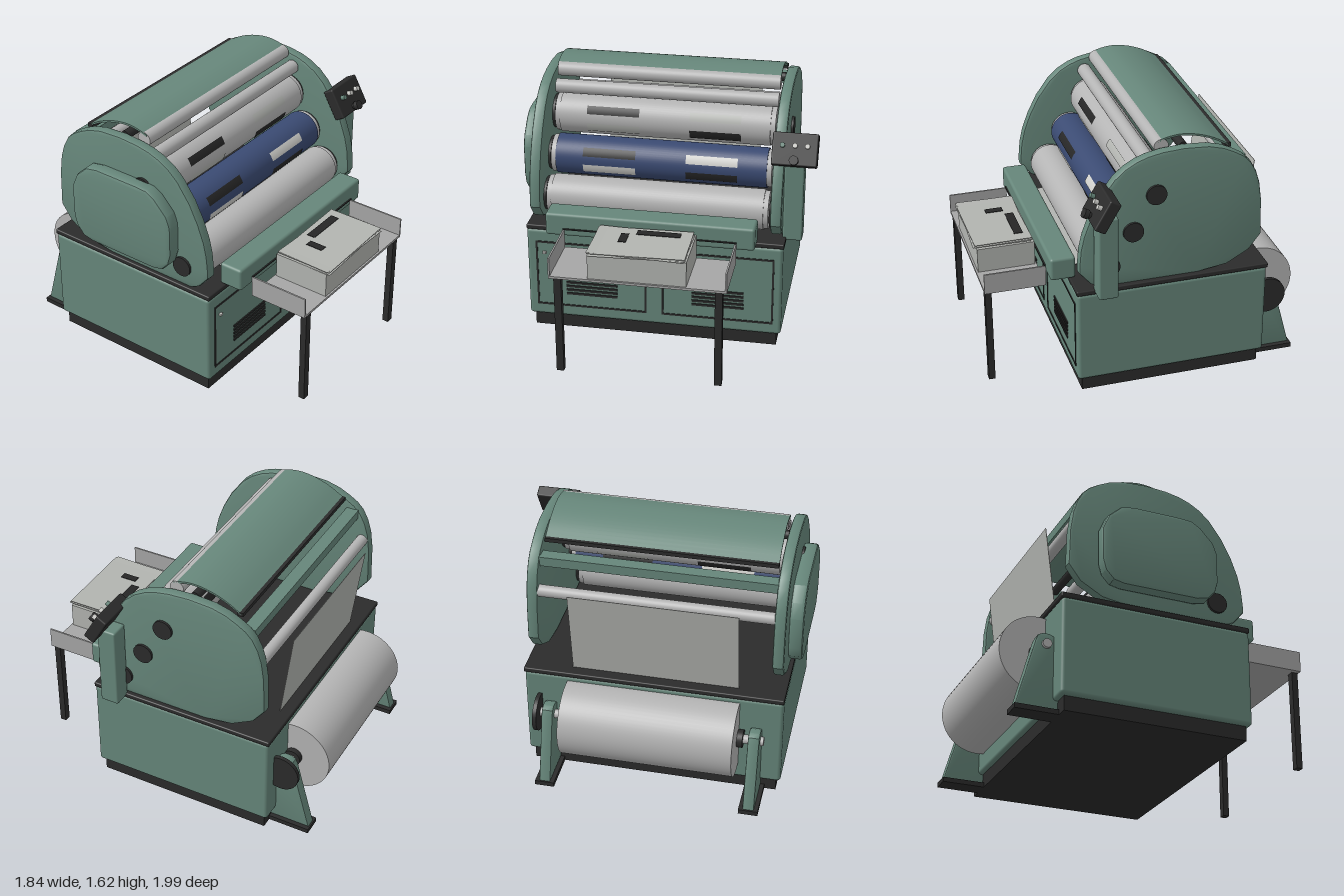
import * as THREE from 'three';
import { toCreasedNormals } from 'three/addons/utils/BufferGeometryUtils.js';
import { RoundedBoxGeometry } from 'three/addons/geometries/RoundedBoxGeometry.js';

const mat = (name, color, side = THREE.FrontSide) => {
  const m = new THREE.MeshStandardMaterial({ color, side });
  m.name = name;
  return m;
};
const green = mat('green enamel', 0x66867a);
const black = mat('black metal', 0x2b2b2b);
const steel = mat('roller steel', 0xb4b4b4);
const blue = mat('blue blanket', 0x3a4a72);
const paper = mat('paper', 0xb2b4b0, THREE.DoubleSide);
const tray = mat('tray grey', 0xa6a6a6);
const pale = mat('pale plate', 0xcfcfcb, THREE.DoubleSide);
const ink = mat('ink', 0x262626, THREE.DoubleSide);

export function createModel() {
  const root = new THREE.Group();
  root.name = 'printingPress';

  const add = (name, geo, m, x = 0, y = 0, z = 0, parent = root) => {
    const mesh = new THREE.Mesh(geo, m);
    mesh.name = name;
    mesh.position.set(x, y, z);
    parent.add(mesh);
    return mesh;
  };
  // Box given by its limits on each axis, rounded when r > 0
  const box = (name, m, x0, x1, y0, y1, z0, z1, r = 0) => {
    const s = [x1 - x0, y1 - y0, z1 - z0];
    const geo = r ? new RoundedBoxGeometry(...s, 3, r) : new THREE.BoxGeometry(...s);
    return add(name, geo, m, (x0 + x1) / 2, (y0 + y1) / 2, (z0 + z1) / 2);
  };
  // Cylinder lying along x
  const rod = (name, m, x0, x1, y, z, r, seg = 40) =>
    add(name, new THREE.CylinderGeometry(r, r, x1 - x0, seg).rotateZ(Math.PI / 2), m, (x0 + x1) / 2, y, z);
  // Side profile of [z, y] points, extruded along x
  const profile = (name, m, pts, x0, x1, bevel = 0.015) => {
    const shape = new THREE.Shape(pts.map(([z, y]) => new THREE.Vector2(-z, y)));
    let geo = new THREE.ExtrudeGeometry(shape, {
      depth: x1 - x0 - 2 * bevel, bevelEnabled: bevel > 0, bevelSize: bevel,
      bevelThickness: bevel, bevelOffset: -bevel, bevelSegments: 2,
    });
    geo = toCreasedNormals(geo.rotateY(Math.PI / 2), 0.5);
    return add(name, geo, m, x0 + bevel, 0, 0);
  };

  // Base cabinet
  box('plinth', black, -0.825, 0.715, 0, 0.1, -0.69, 0.45);
  box('cabinet', green, -0.855, 0.745, 0.09, 0.69, -0.72, 0.48, 0.022);
  box('deck', black, -0.855, 0.75, 0.688, 0.72, -0.725, 0.482, 0.008);
  for (const x of [-0.8, -0.005]) {
    const w = 0.7, t = 0.012;
    box('doorSeam', black, x, x + w, 0.6, 0.6 + t, 0.478, 0.484);
    box('doorSeam', black, x, x + w, 0.163, 0.163 + t, 0.478, 0.484);
    for (const sx of [x, x + w - t]) box('doorSeam', black, sx, sx + t, 0.163, 0.612, 0.478, 0.484);
    for (let i = 0; i < 5; i++) {
      const y = 0.25 + i * 0.026;
      box('ventSlot', black, x + 0.19, x + 0.515, y, y + 0.014, 0.478, 0.487);
    }
    box('doorLatch', pale, x + 0.046, x + 0.066, 0.528, 0.543, 0.478, 0.495);
  }

  // Side frames
  const frame = [[0.46, 0.83], [0.46, 0.87], [0.45, 0.98], [0.43, 1.07], [0.39, 1.18], [0.33, 1.3],
    [0.245, 1.417], [0.18, 1.475], [0.11, 1.515], [0.04, 1.54], [-0.05, 1.557], [-0.18, 1.565], [-0.33, 1.556],
    [-0.42, 1.532], [-0.487, 1.5], [-0.55, 1.462], [-0.594, 1.417], [-0.63, 1.35], [-0.655, 1.27], [-0.672, 1.15],
    [-0.679, 0.92], [-0.604, 0.82], [-0.465, 0.743], [-0.28, 0.717], [0.33, 0.717], [0.39, 0.745]];
  profile('rightSideFrame', green, frame, -0.835, -0.765);
  profile('leftSideFrame', green, frame, 0.655, 0.725);

  // Gear cover on the right side
  const cover = [[0.25, 0.95], [0.25, 1.14], [0.225, 1.21], [0.14, 1.3], [0.08, 1.335], [0, 1.34], [-0.3, 1.34],
    [-0.38, 1.325], [-0.46, 1.25], [-0.5, 1.16], [-0.5, 0.95], [-0.48, 0.88], [-0.43, 0.825], [-0.36, 0.81],
    [0.11, 0.81], [0.18, 0.825], [0.23, 0.88]];
  profile('gearCover', green, cover, -0.92, -0.83, 0.02);

  // Main cylinders with flanges, end gears, bearing caps and curved plates
  const cylinders = [
    { name: 'impressionCylinder', m: steel, y: 0.85, z: 0.275, r: 0.125 },
    { name: 'blanketCylinder', m: blue, y: 1.064, z: 0.13, r: 0.125, marks: [[18, 43], [-31, -6]], flip: 0 },
    { name: 'plateCylinder', m: steel, y: 1.29, z: -0.01, r: 0.128, marks: [[18, 41], [-36, -9]], flip: 1 },
  ];
  for (const c of cylinders) {
    rod(c.name, c.m, -0.715, 0.605, c.y, c.z, c.r, 56);
    rod('shaft', steel, -0.77, 0.66, c.y, c.z, 0.04, 24);
    for (const s of [-1, 1]) {
      const at = (a, b) => [s * a - 0.055, s * b - 0.055].sort((p, q) => p - q);
      rod('flange', steel, ...at(0.66, 0.69), c.y, c.z, c.r - 0.008, 48);
      rod('endGear', black, ...at(0.695, 0.71), c.y, c.z, c.r - 0.02, 36);
      rod('bearingCap', black, ...at(0.775, 0.795), c.y, c.z, 0.063, 32);
    }
    (c.marks || []).forEach(([a, b], row) => {
      [[-0.54, -0.21], [0.105, 0.425]].forEach(([x0, x1], col) => {
        for (const turn of [0, 180]) {
          const start = THREE.MathUtils.degToRad(90 - b + turn), len = THREE.MathUtils.degToRad(b - a);
          // Angle runs from straight up towards the front
          const geo = new THREE.CylinderGeometry(c.r + 0.004, c.r + 0.004, x1 - x0, 8, 1, true, 0, len);
          geo.rotateZ(Math.PI / 2).rotateX(start - Math.PI / 2 + Math.PI / 2 - 0);
          // Bring the arc's first edge to the vertical before turning
          geo.computeBoundingBox();
          const p = geo.attributes.position;
          for (let i = 0; i < p.count; i++) {
            const u = i % 9, t = start + len * u / 8;
            const x = i < 9 ? x0 : x1;
            p.setXYZ(i, x, Math.cos(t) * (c.r + 0.004), Math.sin(t) * (c.r + 0.004));
          }
          geo.computeVertexNormals();
          const light = c.flip ? steel : pale;
          add('cylinderPlate', geo, row === col ? ink : (c.flip ? paper : light), 0, c.y, c.z);
        }
      });
    });
  }

  // Upper ink rollers, tie bars and rear guide roller
  rod('inkRoller', steel, -0.75, 0.645, 1.555, -0.062, 0.045, 32);
  rod('inkRoller', steel, -0.75, 0.645, 1.47, 0.016, 0.044, 32);
  rod('tieBar', black, -0.77, 0.66, 1.545, -0.19, 0.028, 20);
  rod('rearGuideRoller', steel, -0.77, 0.66, 1.23, -0.617, 0.037, 28);
  box('rearBeam', green, -0.77, 0.66, 1.38, 1.44, -0.58, -0.5);
  box('coverEdgeBar', black, -0.755, 0.645, 1.495, 1.52, -0.492, -0.455);

  // Curved top cover
  const arc = new THREE.CatmullRomCurve3([[-0.04, 1.592], [-0.1, 1.61], [-0.18, 1.619], [-0.28, 1.605],
    [-0.38, 1.57], [-0.475, 1.517]].map(([z, y]) => new THREE.Vector3(0, y, z))).getPoints(20);
  const outer = arc.map(p => [p.z, p.y]);
  const inner = arc.map(p => [p.z, p.y - 0.012]).reverse();
  profile('topCover', green, [...outer, ...inner], -0.755, 0.645, 0);

  // Control column and tilted control box
  box('controlColumn', green, 0.725, 0.845, 0.7, 1.235, 0.253, 0.373, 0.012);
  const panel = new THREE.Group();
  panel.name = 'controlPanel';
  panel.position.set(0.783, 1.288, 0.338);
  panel.rotation.x = -Math.PI / 6;
  root.add(panel);
  add('controlBox', new RoundedBoxGeometry(0.275, 0.2, 0.075, 3, 0.01), black, 0, 0, 0, panel);
  const button = r => new THREE.CylinderGeometry(r, r, 0.03, 20).rotateX(Math.PI / 2);
  [green, pale, pale].forEach((m, i) => add('button', button(0.015), m, (i - 1) * 0.075, 0.02, 0.05, panel));
  add('stopKnob', button(0.018), black, 0, -0.07, 0.048, panel);
  add('stopKnobHead', button(0.028), black, 0, -0.07, 0.07, panel);

  // Front delivery rail and tray
  box('deliveryRail', green, -0.7, 0.585, 0.722, 0.868, 0.445, 0.6, 0.018);
  box('deliverySheet', paper, -0.57, 0.455, 0.735, 0.74, 0.3, 0.45);
  box('trayFloor', tray, -0.59, 0.475, 0.635, 0.65, 0.602, 0.982);
  for (const x of [-0.59, 0.465]) box('trayWall', tray, x, x + 0.01, 0.635, 0.768, 0.602, 0.982);
  box('trayRearRod', black, -0.59, 0.475, 0.768, 0.776, 0.602, 0.61);
  for (const x of [-0.56, 0.405]) box('trayLeg', black, x, x + 0.045, 0, 0.636, 0.935, 0.975);

  // Printed stack with loose sheets on top
  box('paperStack', paper, -0.355, 0.235, 0.65, 0.808, 0.612, 0.97);
  [0.02, -0.025, 0.012].forEach((a, i) => {
    const sheet = add('looseSheet', new THREE.BoxGeometry(0.58, 0.003, 0.36), paper, -0.065, 0.814 + i * 0.007, 0.805);
    sheet.rotation.set(0, a, a * 0.8);
  });
  box('printBlock', ink, -0.11, 0.155, 0.836, 0.839, 0.665, 0.72);
  box('printBlock', ink, -0.2, -0.152, 0.836, 0.839, 0.72, 0.83);

  // Rear paper roll on its two stands
  const ry = 0.43, rz = -0.765;
  rod('paperRoll', steel, -0.59, 0.475, ry, rz, 0.235, 64);
  rod('rollSpindle', steel, -0.75, 0.65, ry, rz, 0.028, 24);
  rod('rollCollar', black, -0.625, -0.588, ry, rz, 0.055, 28);
  rod('rollCollar', black, 0.473, 0.51, ry, rz, 0.055, 28);
  rod('brakeDisc', black, 0.64, 0.665, ry, rz, 0.118, 40);
  const stand = [[-0.945, 0.03], [-0.83, 0.45], [-0.815, 0.485], [-0.785, 0.5], [-0.745, 0.5],
    [-0.715, 0.485], [-0.7, 0.45], [-0.66, 0.03]];
  for (const x of [-0.695, 0.585]) {
    profile('rollStand', green, stand, x - 0.035, x + 0.035, 0.008);
    box('standFoot', black, x - 0.06, x + 0.06, 0, 0.03, -0.955, -0.66);
  }

  // Paper web feeding down behind the frames
  const web = add('paperWeb', new THREE.BoxGeometry(1.025, 0.565, 0.003), paper, -0.057, 1.0, -0.688);
  web.rotation.x = -0.13;
  return root;
}
